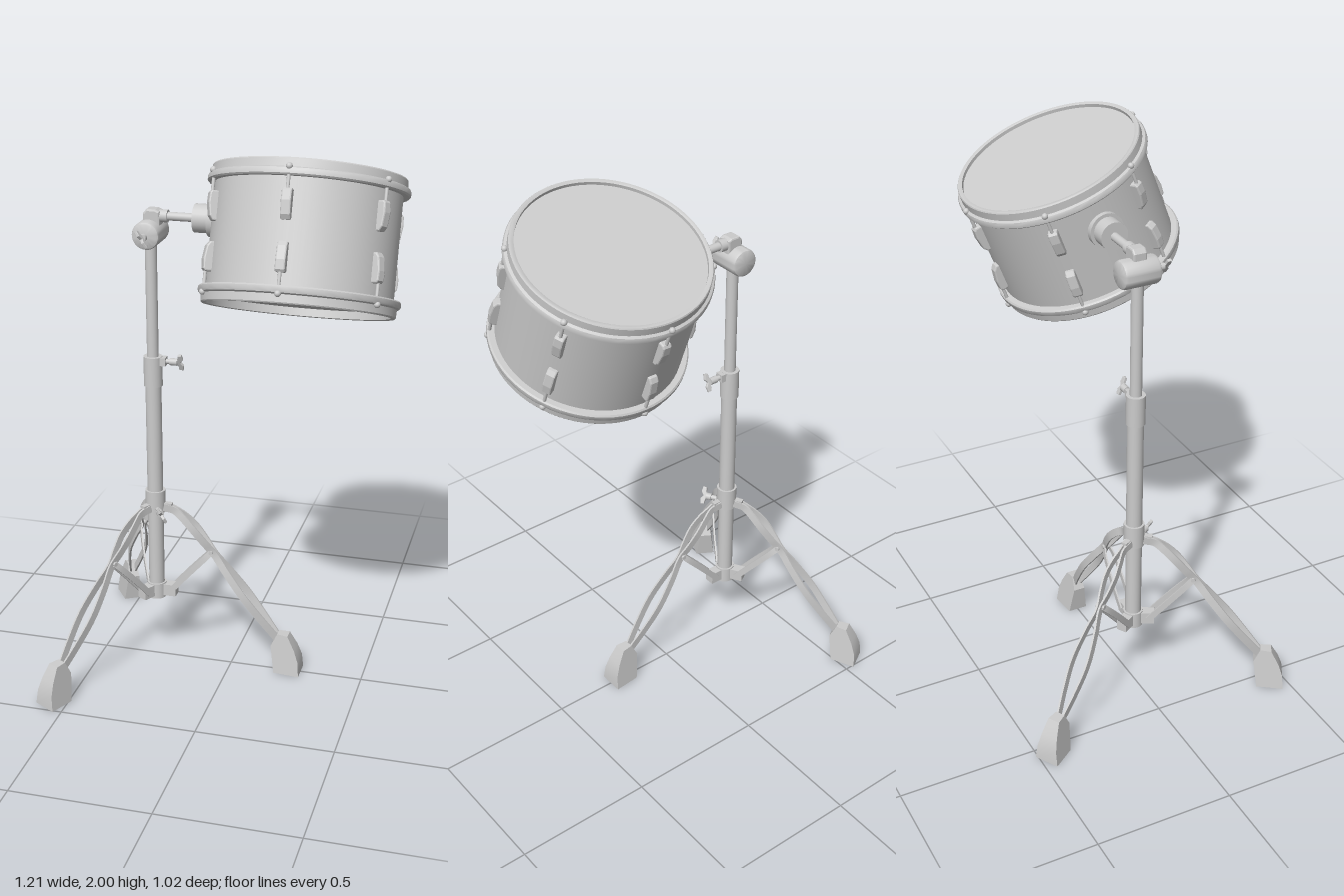
import * as THREE from 'three';
import { toCreasedNormals } from 'three/addons/utils/BufferGeometryUtils.js';

const V = (x, y, z = 0) => new THREE.Vector3(x, y, z);
const P = (list) => list.map(([x, y]) => new THREE.Vector2(x, y));
const material = new THREE.MeshStandardMaterial({ color: 0xcccccc, side: THREE.DoubleSide });

function add(parent, name, geometry, x = 0, y = 0, z = 0) {
  const mesh = new THREE.Mesh(geometry, material);
  mesh.name = name;
  mesh.position.set(x, y, z);
  parent.add(mesh);
  return mesh;
}

function group(parent, name, x = 0, y = 0, z = 0) {
  const g = new THREE.Group();
  g.name = name;
  g.position.set(x, y, z);
  parent.add(g);
  return g;
}

// Solid of revolution with sharp edges kept
const lathe = (profile, sides = 32) =>
  toCreasedNormals(new THREE.LatheGeometry(P(profile), sides), 0.6);

// Upright cylinder between two heights
const post = (parent, name, r, y0, y1) =>
  add(parent, name, new THREE.CylinderGeometry(r, r, y1 - y0, 28), 0, (y0 + y1) / 2, 0);

// Cylinder along x between two positions
function rodX(parent, name, r, x0, x1, y = 0, z = 0) {
  const m = add(parent, name, new THREE.CylinderGeometry(r, r, x1 - x0, 24), (x0 + x1) / 2, y, z);
  m.rotation.z = Math.PI / 2;
  return m;
}

// Side profile extruded symmetrically across z
function slab(profile, width, bevel = 0) {
  const geo = new THREE.ExtrudeGeometry(new THREE.Shape(P(profile)), {
    depth: width - 2 * bevel, bevelEnabled: bevel > 0, bevelSize: bevel,
    bevelThickness: bevel, bevelOffset: -bevel, bevelSegments: 2,
  });
  return geo.translate(0, 0, bevel - width / 2);
}

// Flat metal strap following a path, tall in the xy plane and thin across z
function strap(points, height, thickness, steps) {
  const curve = new THREE.CatmullRomCurve3(points);
  const pos = [], index = [];
  for (let i = 0; i <= steps; i++) {
    const p = curve.getPoint(i / steps), t = curve.getTangent(i / steps);
    const n = V(-t.y, t.x).normalize().multiplyScalar(height / 2);
    for (const [a, b] of [[1, 1], [-1, 1], [-1, -1], [1, -1]])
      pos.push(p.x + a * n.x, p.y + a * n.y, p.z + b * thickness / 2);
    if (i < steps) for (let k = 0; k < 4; k++) {
      const a = i * 4 + k, b = i * 4 + (k + 1) % 4;
      index.push(a, b, a + 4, b, b + 4, a + 4);
    }
  }
  const e = steps * 4;
  index.push(0, 2, 1, 0, 3, 2, e, e + 1, e + 2, e, e + 2, e + 3);
  const geo = new THREE.BufferGeometry();
  geo.setAttribute('position', new THREE.Float32BufferAttribute(pos, 3));
  geo.setIndex(index);
  return toCreasedNormals(geo, 0.6);
}

// Wing bolt pointing along local +x
function wingBolt(parent, name, x, y, z, length) {
  const g = group(parent, name, x, y, z);
  rodX(g, 'boltShaft', 0.009, 0, length);
  rodX(g, 'boltHub', 0.013, length * 0.55, length);
  add(g, 'boltWings', slab([[-0.012, 0], [0.002, 0.014], [0.004, 0.032], [0.018, 0.034],
    [0.022, 0.014], [0.012, 0], [0.022, -0.014], [0.018, -0.034], [0.004, -0.032],
    [0.002, -0.014]], 0.011, 0.002), length, 0, 0);
  return g;
}

function buildDrum(parent) {
  const drum = group(parent, 'drum', 0.26, 1.666, 0.023);
  drum.rotation.x = THREE.MathUtils.degToRad(-21);
  const H = 0.2325;
  add(drum, 'shell', new THREE.CylinderGeometry(0.318, 0.318, 0.4, 72, 1, true));
  const hoop = lathe([[0.313, H - 0.05], [0.313, H - 0.002], [0.317, H], [0.327, H],
    [0.33, H - 0.004], [0.331, H - 0.03], [0.34, H - 0.034], [0.343, H - 0.04],
    [0.343, H - 0.053], [0.338, H - 0.058], [0.313, H - 0.058], [0.313, H - 0.05]], 72);
  for (const s of [1, -1]) {
    add(drum, s > 0 ? 'topHoop' : 'bottomHoop', hoop).scale.y = s;
    const head = add(drum, s > 0 ? 'topHead' : 'bottomHead',
      new THREE.CircleGeometry(0.316, 72), 0, s * (H - (s > 0 ? 0.014 : 0.03)), 0);
    head.rotation.x = -s * Math.PI / 2;
  }
  // Tension lugs, rods and bolts, six pairs around the shell
  const lug = slab([[-0.006, -0.05], [0.012, -0.05], [0.024, -0.035], [0.031, 0.01],
    [0.029, 0.042], [0.022, 0.05], [-0.006, 0.05]], 0.034, 0.005);
  for (let i = 0; i < 6; i++) {
    const station = group(drum, 'tensionStation');
    station.rotation.y = Math.PI / 6 + i * Math.PI / 3;
    for (const s of [1, -1]) {
      const half = group(station, s > 0 ? 'upperTension' : 'lowerTension');
      half.scale.y = s;
      add(half, 'lug', lug, 0.316, 0.084, 0);
      add(half, 'tensionRod', new THREE.CylinderGeometry(0.006, 0.006, 0.1, 10), 0.334, 0.16, 0);
      add(half, 'tensionBolt', new THREE.SphereGeometry(0.011, 14, 10), 0.338, H - 0.03, 0);
    }
  }
}

function buildHolder(parent) {
  // Bracket and arm carrying the drum
  const holder = group(parent, 'drumHolder');
  rodX(holder, 'mountPlate', 0.062, -0.075, -0.04, 1.72);
  rodX(holder, 'mountHub', 0.05, -0.128, -0.04, 1.72);
  rodX(holder, 'arm', 0.015, -0.28, -0.11, 1.72);
  rodX(holder, 'armCollar', 0.022, -0.255, -0.225, 1.72);
  // Tilting joint
  const tilter = add(holder, 'tilter', lathe([[0, -0.068], [0.04, -0.068], [0.047, -0.064],
    [0.05, -0.056], [0.05, 0.056], [0.047, 0.064], [0.04, 0.068], [0, 0.068]]), -0.29, 1.66, 0);
  tilter.rotation.x = Math.PI / 2;
  add(holder, 'tilterNeck', slab([[-0.025, -0.04], [0.035, -0.04], [0.035, 0.02],
    [0.02, 0.027], [-0.012, 0.027], [-0.025, 0.012]], 0.05, 0.006), -0.285, 1.718, 0);
  const bolt = wingBolt(holder, 'tilterWingBolt', -0.29, 1.66, 0.06, 0.035);
  bolt.rotation.set(0.6, -Math.PI / 2, 0, 'YXZ');
}

function buildLeg(stand, angle) {
  const leg = group(stand, 'leg');
  leg.rotation.y = angle;
  // Pair of straps that part and meet along the leg
  const path = [[0.035, 0.622, 0.012], [0.075, 0.61, 0.006], [0.11, 0.585, 0.014],
    [0.15, 0.545, 0.02], [0.19, 0.495, 0.014], [0.225, 0.45, 0.005], [0.275, 0.385, 0.019],
    [0.345, 0.295, 0.031], [0.41, 0.21, 0.023], [0.475, 0.125, 0.008]];
  for (const s of [1, -1]) {
    add(leg, 'legStrap', strap(path.map(([d, y, z]) => V(d, y, s * z)), 0.028, 0.007, 40));
    add(leg, 'braceStrap', strap([V(0.055, 0.28, s * 0.022), V(0.13, 0.365, s * 0.022),
      V(0.19, 0.43, s * 0.017), V(0.215, 0.457, s * 0.009)], 0.022, 0.006, 12));
  }
  // Pivots on the column
  add(leg, 'lowerPivot', new THREE.BoxGeometry(0.055, 0.045, 0.038), 0.05, 0.283, 0);
  add(leg, 'upperPivot', new THREE.BoxGeometry(0.04, 0.034, 0.02), 0.045, 0.62, 0);
  const pin = add(leg, 'bracePin', new THREE.CylinderGeometry(0.008, 0.008, 0.034, 12), 0.215, 0.457, 0);
  pin.rotation.x = Math.PI / 2;
  // Rubber foot, narrower towards the top and the inner side
  const foot = slab([[0.463, 0], [0.56, 0], [0.556, 0.055], [0.54, 0.1], [0.512, 0.152],
    [0.472, 0.155], [0.448, 0.105]], 1);
  const p = foot.attributes.position;
  for (let i = 0; i < p.count; i++)
    p.setZ(i, p.getZ(i) * (0.092 - 0.25 * p.getY(i) - 0.2 * (0.56 - p.getX(i))));
  add(leg, 'foot', toCreasedNormals(foot, 0.5));
}

function buildStand(parent) {
  const stand = group(parent, 'stand', -0.29, 0, 0);
  post(stand, 'upperTube', 0.021, 1.1, 1.64);
  post(stand, 'lowerTube', 0.029, 0.25, 1.15);
  post(stand, 'bottomCollar', 0.036, 0.25, 0.31);
  post(stand, 'legCollar', 0.037, 0.6, 0.686);
  post(stand, 'heightClamp', 0.034, 1.095, 1.206);
  add(stand, 'clampLug', new THREE.BoxGeometry(0.03, 0.03, 0.032), 0.035, 1.19, 0);
  wingBolt(stand, 'heightWingBolt', 0.03, 1.19, 0, 0.062).rotation.x = 0.4;
  const lower = wingBolt(stand, 'legWingBolt', 0.018, 0.62, 0.03, 0.045);
  lower.rotation.set(0.5, -Math.PI / 3, 0, 'YXZ');
  for (let i = 0; i < 3; i++) buildLeg(stand, i * Math.PI * 2 / 3);
}

export function createModel() {
  const model = new THREE.Group();
  model.name = 'drumOnStand';
  buildStand(model);
  buildHolder(model);
  buildDrum(model);
  return model;
}
